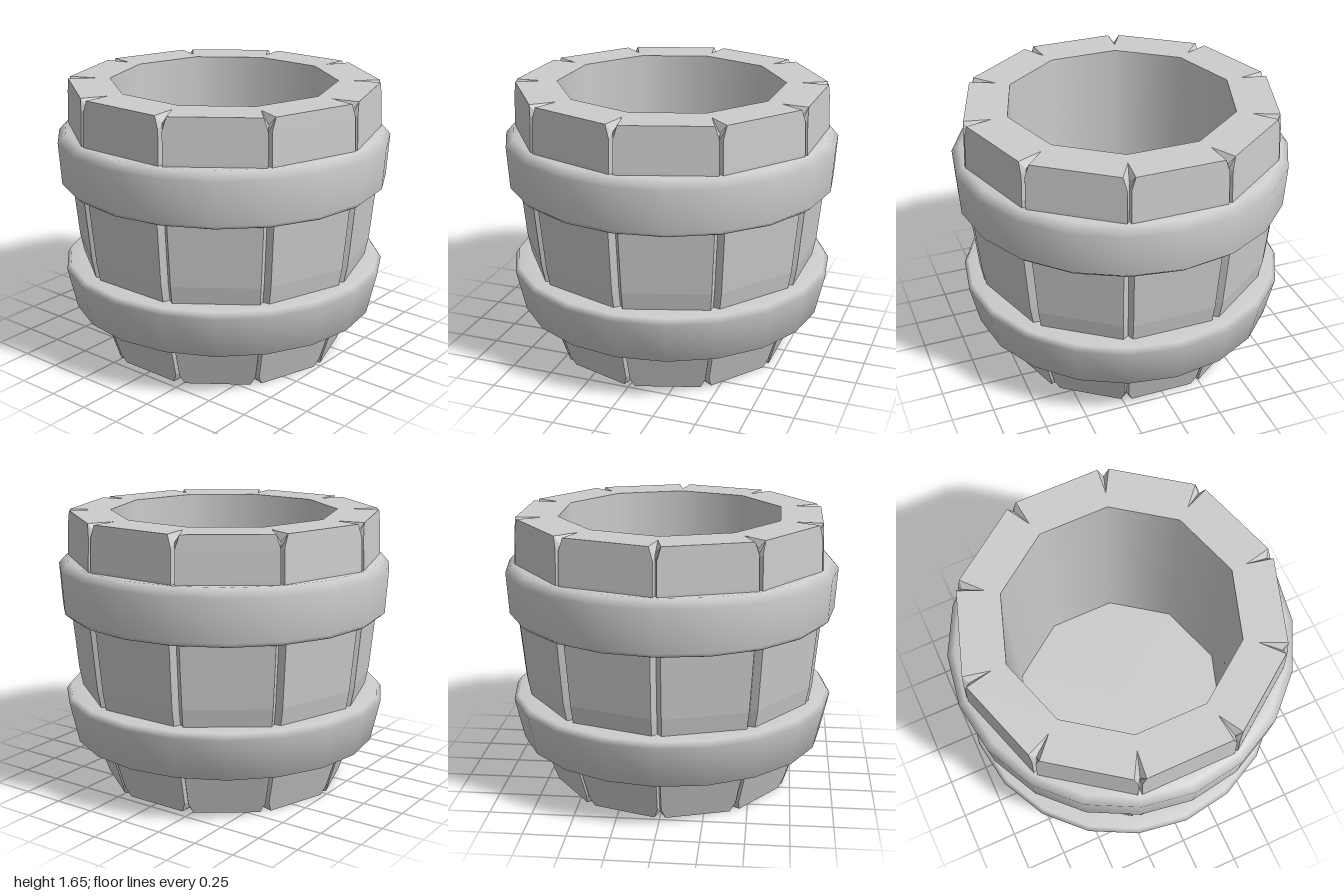
import * as THREE from 'three';

const SIDES = 10;
const HALF = Math.PI / SIDES;

// Stave levels: height, outer apothem, groove half width, groove depth, groove height
const LEVELS = [
  [0, 0.7, 0.035, 0.03, 0.03],
  [0.06, 0.718, 0.012, 0.03, 0.06],
  [0.25, 0.775, 0.012, 0.03, 0.25],
  [0.4, 0.81, 0.025, 0.04, 0.4],
  [0.68, 0.862, 0.03, 0.045, 0.68],
  [1.05, 0.895, 0.03, 0.045, 1.05],
  [1.4, 0.9, 0.012, 0.035, 1.4],
  [1.58, 0.893, 0.012, 0.035, 1.57],
  [1.655, 0.89, 0.035, 0.03, 1.61],
];
const RIM = 0.68, BASE = 0.57;

// Point on the corner line of a stave (s = -1 or 1)
const corner = (s, r, y) => [s * r * Math.sin(HALF), y, r * Math.cos(HALF)];

// One stave facing +z, with half a groove on each side and notched ends
function staveGeometry() {
  const pos = [];
  const tri = (...pts) => pts.forEach((p) => pos.push(...p));
  const rows = LEVELS.map(([y, a, w, d, gy]) => {
    const x = a * Math.tan(HALF) - w;
    const r = a / Math.cos(HALF) - d;
    return [corner(-1, r, gy), [-x, y, a], [x, y, a], corner(1, r, gy)];
  });
  for (let i = 0; i < rows.length - 1; i++) {
    for (let j = 0; j < 3; j++) {
      const a = rows[i][j], b = rows[i][j + 1], c = rows[i + 1][j + 1], d = rows[i + 1][j];
      tri(a, b, c);
      tri(a, c, d);
    }
  }
  const cap = (row, y, inner, notch, up) => {
    const face = (a, b, c) => (up ? tri(a, b, c) : tri(a, c, b));
    const [gl, el, er, gr] = row;
    const nl = corner(-1, notch, y), nr = corner(1, notch, y);
    const il = corner(-1, inner, y), ir = corner(1, inner, y);
    face(el, er, nr);
    face(el, nr, ir);
    face(el, ir, il);
    face(el, il, nl);
    face(er, gr, nr);
    face(el, nl, gl);
  };
  cap(rows[rows.length - 1], 1.655, RIM, 0.77, true);
  cap(rows[0], 0, BASE, 0.63, false);
  const geo = new THREE.BufferGeometry();
  geo.setAttribute('position', new THREE.Float32BufferAttribute(pos, 3));
  geo.computeVertexNormals();
  return geo;
}

const lathe = (pts, sides) =>
  new THREE.LatheGeometry(pts.map(([r, y]) => new THREE.Vector2(r, y)), sides);

export function createModel() {
  const group = new THREE.Group();
  const grey = new THREE.MeshStandardMaterial({ color: 0xcccccc });
  grey.name = 'grey';
  const add = (name, geo) => {
    const mesh = new THREE.Mesh(geo, grey);
    mesh.name = name;
    group.add(mesh);
    return mesh;
  };

  // Ring of staves
  const stave = staveGeometry();
  for (let k = 0; k < SIDES; k++) add('stave', stave).rotation.y = HALF * (2 * k + 1);

  // Rounded hoops
  add('upperHoop', lathe([
    [0.87, 1.058], [0.955, 1.058], [0.985, 1.085], [1.0, 1.335], [0.955, 1.385], [0.87, 1.385],
  ], 20));
  add('lowerHoop', lathe([
    [0.74, 0.255], [0.83, 0.255], [0.925, 0.29], [0.98, 0.54], [0.957, 0.573], [0.82, 0.573],
  ], 20));

  // Hollow inside and recessed underside
  add('innerWall', lathe([[RIM, 1.655], [0.67, 0.3]], SIDES));
  add('baseRecessWall', lathe([[BASE, 0.1], [BASE, 0]], SIDES));
  const floor = add('floor', new THREE.CircleGeometry(0.67, SIDES, Math.PI / 2));
  floor.rotation.x = -Math.PI / 2;
  floor.position.y = 0.3;
  const base = add('base', new THREE.CircleGeometry(BASE, SIDES, Math.PI / 2));
  base.rotation.x = Math.PI / 2;
  base.position.y = 0.1;
  return group;
}
